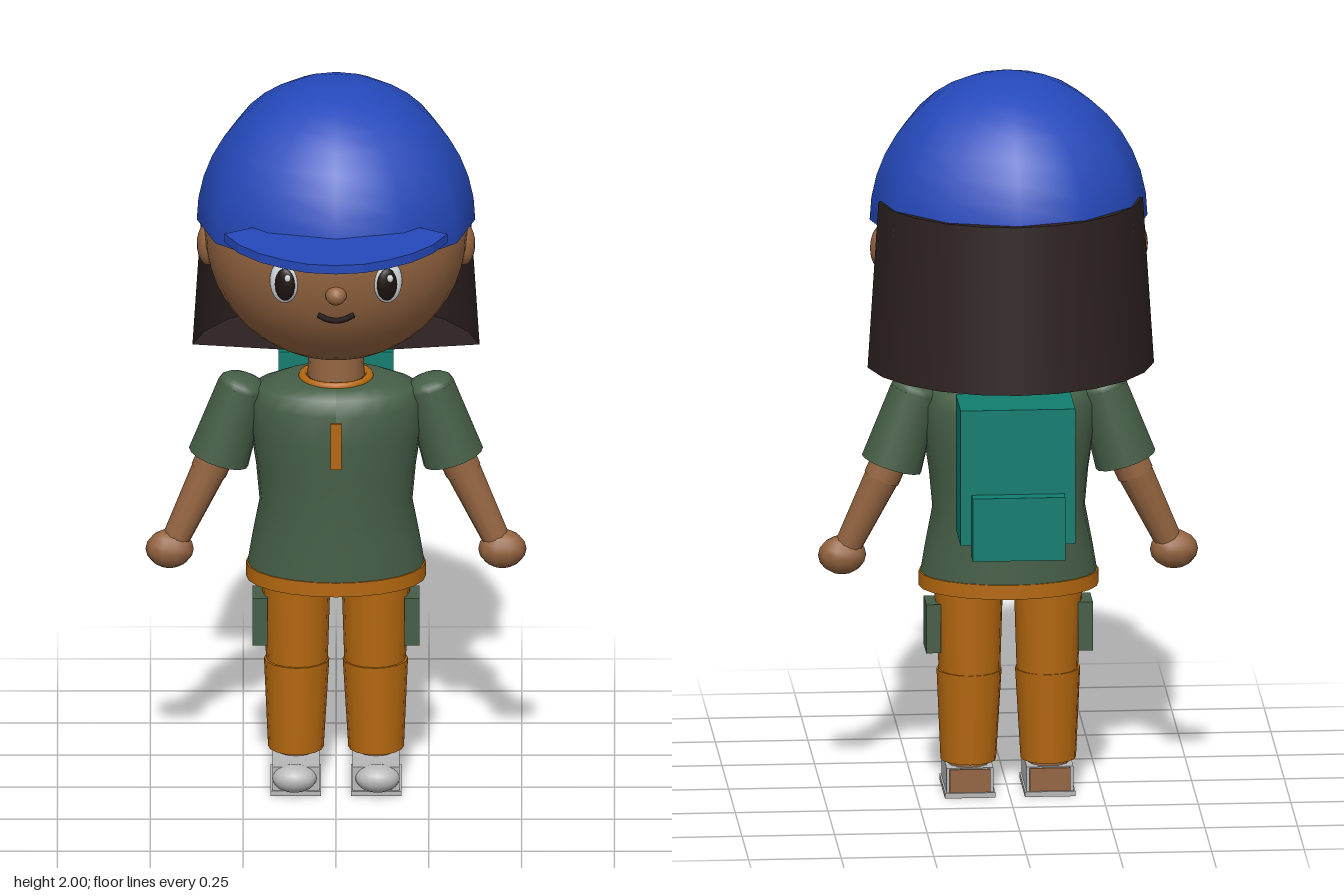
import * as THREE from 'three';

const ZC = -0.08; // body axis in z

function mat(name, color, double = false) {
  const m = new THREE.MeshStandardMaterial({ color });
  m.name = name;
  if (double) m.side = THREE.DoubleSide;
  return m;
}

export function createModel() {
  const M = {
    skin: mat('skin', 0x946440),
    hair: mat('hair', 0x2c2120, true),
    blue: mat('capBlue', 0x2549bb, true),
    green: mat('shirtGreen', 0x455e46, true),
    orange: mat('trouserOrange', 0xb5680f),
    teal: mat('packTeal', 0x0f7d6e),
    grey: mat('shoeGrey', 0xb8b8b8),
    white: mat('eyeWhite', 0xd4dce0),
    dark: mat('eyeDark', 0x1c1210),
  };
  const root = new THREE.Group();
  const add = (name, geo, m, x = 0, y = 0, z = 0) => {
    const mesh = new THREE.Mesh(geo, m);
    mesh.name = name;
    mesh.position.set(x, y, z);
    root.add(mesh);
    return mesh;
  };
  const box = (name, m, w, h, d, x, y, z) => add(name, new THREE.BoxGeometry(w, h, d), m, x, y, z);
  const ball = (name, m, rx, ry, rz, x, y, z, ws = 16, hs = 12) =>
    add(name, new THREE.SphereGeometry(1, ws, hs).scale(rx, ry, rz), m, x, y, z);
  // tapered cylinder from point a (radius ra) to point b (radius rb)
  const limb = (name, m, a, b, ra, rb, seg = 12, open = false) => {
    const A = new THREE.Vector3(...a), B = new THREE.Vector3(...b);
    const dir = A.clone().sub(B);
    const mesh = add(name, new THREE.CylinderGeometry(ra, rb, dir.length(), seg, 1, open), m);
    mesh.position.copy(A).add(B).multiplyScalar(0.5);
    mesh.quaternion.setFromUnitVectors(new THREE.Vector3(0, 1, 0), dir.normalize());
    return mesh;
  };

  // head, neck and face
  ball('head', M.skin, 0.355, 0.36, 0.33, 0, 1.575, ZC, 32, 24);
  add('neck', new THREE.CylinderGeometry(0.073, 0.078, 0.14, 16), M.skin, 0, 1.19, ZC);
  ball('nose', M.skin, 0.029, 0.026, 0.026, 0, 1.5, 0.245, 12, 8);
  const smile = new THREE.CatmullRomCurve3([[-0.048, 1.437, 0.222], [-0.025, 1.427, 0.229],
    [0, 1.423, 0.231], [0.025, 1.427, 0.229], [0.048, 1.437, 0.222]].map(p => new THREE.Vector3(...p)));
  add('mouth', new THREE.TubeGeometry(smile, 12, 0.008, 6), M.dark);

  // cap dome and visor
  const dome = new THREE.SphereGeometry(1, 12, 10, 0, Math.PI * 2, 0, Math.PI / 2);
  add('capDome', dome.scale(0.375, 0.4, 0.375), M.blue, 0, 1.6, ZC);
  const half = [[0.2, 0.18], [0.3, 0.245], [0.262, 0.33], [0.205, 0.4], [0.14, 0.45], [0.075, 0.483]];
  const outline = [...half, [0, 0.493], ...half.slice().reverse().map(([x, z]) => [-x, z])];
  const visorShape = new THREE.Shape(outline.map(([x, z]) => new THREE.Vector2(x, z)));
  const visor = new THREE.ExtrudeGeometry(visorShape, { depth: 0.025, bevelEnabled: false });
  add('capVisor', visor.rotateX(Math.PI / 2), M.blue, 0, 1.678, 0);

  // long hair: flared wedge of a cylinder behind the head
  const gap = 0.165;
  add('hair', new THREE.CylinderGeometry(0.362, 0.392, 0.46, 10, 1, false,
    Math.PI / 2 + gap, Math.PI - 2 * gap), M.hair, 0, 1.44, -0.1);

  // shirt from elliptical cross-sections: [y, half width, half depth]
  const rings = [[0.61, 0.24, 0.173], [0.7, 0.225, 0.17], [0.8, 0.206, 0.167], [0.9, 0.215, 0.168],
    [1.0, 0.23, 0.168], [1.09, 0.237, 0.165], [1.13, 0.215, 0.143], [1.15, 0.155, 0.115], [1.155, 0.07, 0.07]];
  const seg = 24;
  const shirt = new THREE.CylinderGeometry(1, 1, 1, seg, rings.length - 1, true);
  const p = shirt.attributes.position;
  for (let i = 0; i < p.count; i++) {
    const [y, rx, rz] = rings[rings.length - 1 - Math.floor(i / (seg + 1))];
    p.setXYZ(i, p.getX(i) * rx, y, p.getZ(i) * rz);
  }
  shirt.computeVertexNormals();
  add('shirt', shirt, M.green, 0, 0, ZC);
  add('collar', new THREE.TorusGeometry(0.09, 0.012, 8, 24).rotateX(Math.PI / 2), M.orange, 0, 1.152, ZC);
  add('shirtHem', new THREE.CylinderGeometry(1, 1, 0.04, 24).scale(0.243, 1, 0.176), M.orange, 0, 0.6, ZC);
  box('zip', M.orange, 0.03, 0.13, 0.02, 0, 1.01, 0.085);

  // backpack
  box('backpack', M.teal, 0.31, 0.375, 0.18, 0, 0.968, -0.345);
  box('backpackPocket', M.teal, 0.25, 0.175, 0.06, 0, 0.833, -0.445);

  for (const s of [1, -1]) {
    const side = s > 0 ? 'left' : 'right';
    // eye, brow and ear
    const eye = ball(side + 'Eye', M.white, 0.04, 0.06, 0.02, s * 0.14, 1.53, 0.217);
    const pupil = ball(side + 'Pupil', M.dark, 0.029, 0.046, 0.012, s * 0.138, 1.527, 0.231);
    eye.rotation.y = pupil.rotation.y = s * 0.3;
    ball(side + 'EyeGlint', M.white, 0.009, 0.011, 0.005, s * 0.138 + 0.008, 1.548, 0.241, 8, 6);
    box(side + 'Brow', M.dark, 0.05, 0.012, 0.012, s * 0.15, 1.608, 0.22).rotation.y = s * 0.4;
    ball(side + 'Ear', M.skin, 0.03, 0.06, 0.042, s * 0.345, 1.525, -0.095);

    // sleeve with a low rounded shoulder
    limb(side + 'Sleeve', M.green, [s * 0.252, 1.122, ZC], [s * 0.316, 0.92, ZC], 0.068, 0.084, 16);
    const cap = ball(side + 'Shoulder', M.green, 0.068, 0.035, 0.068, s * 0.252, 1.122, ZC, 16, 8);
    cap.rotation.z = s * 0.3;

    // arm and hand
    limb(side + 'UpperArm', M.skin, [s * 0.29, 1.0, ZC], [s * 0.343, 0.88, ZC], 0.05, 0.05);
    limb(side + 'Forearm', M.skin, [s * 0.341, 0.885, ZC], [s * 0.432, 0.69, -0.063], 0.048, 0.037);
    ball(side + 'Hand', M.skin, 0.065, 0.053, 0.052, s * 0.448, 0.663, -0.06, 10, 8);

    // trouser leg and side pocket
    limb(side + 'Thigh', M.orange, [s * 0.108, 0.6, -0.075], [s * 0.105, 0.343, -0.075], 0.094, 0.083, 16);
    limb(side + 'Shin', M.orange, [s * 0.106, 0.345, -0.073], [s * 0.108, 0.093, -0.07], 0.088, 0.075, 16);
    box(side + 'LegPocket', M.green, 0.04, 0.135, 0.1, s * 0.205, 0.467, -0.07);

    // shoe
    add(side + 'Ankle', new THREE.CylinderGeometry(0.055, 0.055, 0.05, 12), M.skin, s * 0.108, 0.085, -0.075);
    box(side + 'Shoe', M.grey, 0.126, 0.07, 0.2, s * 0.108, 0.047, -0.035);
    box(side + 'Sole', M.grey, 0.136, 0.014, 0.212, s * 0.108, 0.007, -0.036);
    box(side + 'Heel', M.skin, 0.11, 0.064, 0.008, s * 0.108, 0.047, -0.136);
    ball(side + 'Toe', M.grey, 0.06, 0.038, 0.045, s * 0.112, 0.05, 0.066);
  }
  return root;
}
